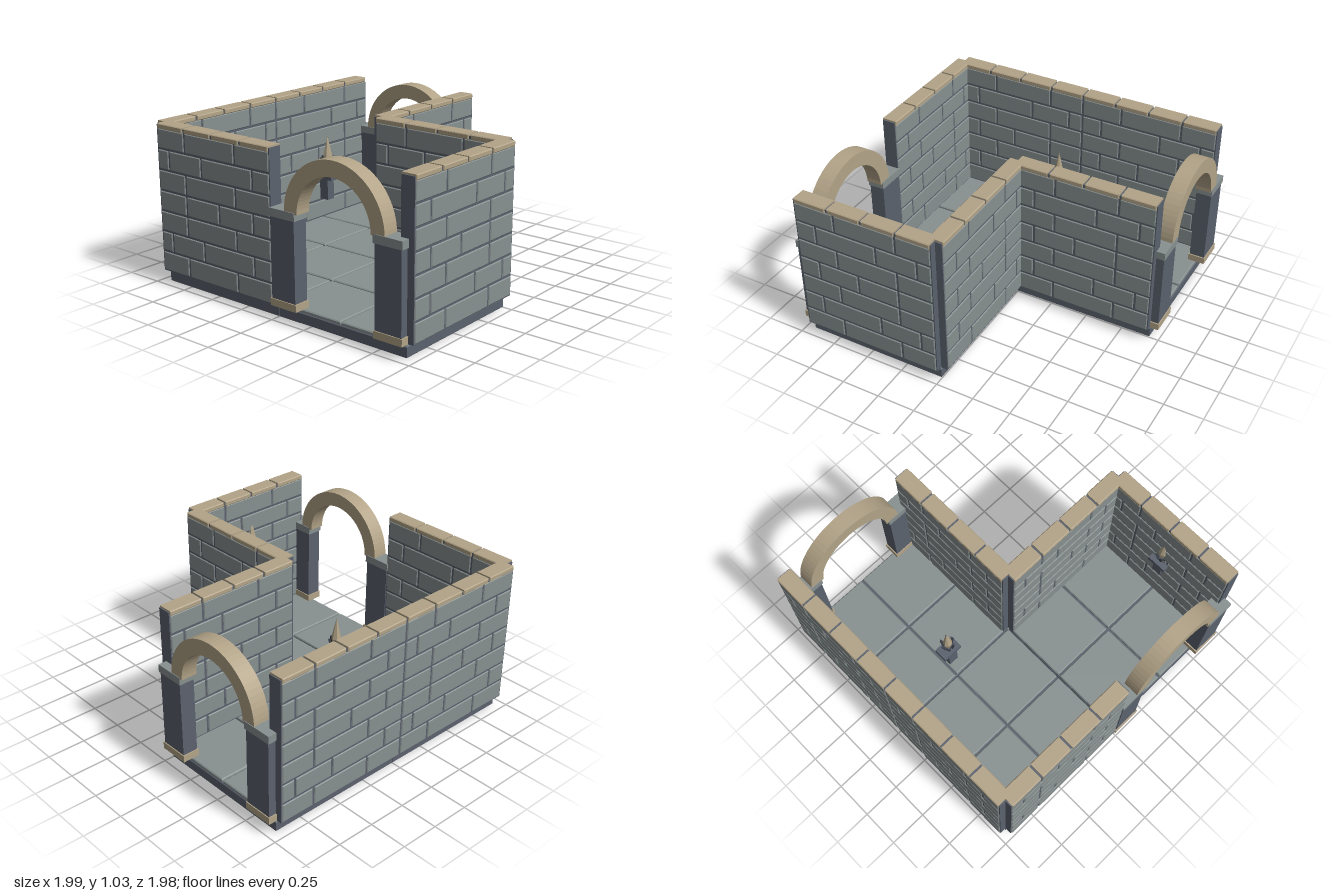
import * as THREE from 'three';
import { mergeGeometries } from 'three/addons/utils/BufferGeometryUtils.js';

const material = (name, color) => {
  const m = new THREE.MeshStandardMaterial({ color, flatShading: true });
  m.name = name;
  return m;
};

export function createModel() {
  const stone = material('grey stone', 0x889090);
  const slate = material('dark slate', 0x5b626e);
  const sand = material('sandstone', 0xb3a488);
  const iron = material('dark iron', 0x40464f);

  const model = new THREE.Group();
  model.name = 'dungeonRooms';
  const L = 0.94; // side of one square room

  const add = (parent, name, geometry, mat, x = 0, y = 0, z = 0) => {
    const mesh = new THREE.Mesh(geometry, mat);
    mesh.name = name;
    mesh.position.set(x, y, z);
    parent.add(mesh);
    return mesh;
  };

  // Chamfered block centred on its origin, bevelled towards +z and -z
  const block = (w, h, d, b) => {
    const x = w / 2 - b, y = h / 2 - b;
    const shape = new THREE.Shape([
      new THREE.Vector2(-x, -y), new THREE.Vector2(x, -y),
      new THREE.Vector2(x, y), new THREE.Vector2(-x, y),
    ]);
    return new THREE.ExtrudeGeometry(shape, {
      depth: d - 2 * b, bevelEnabled: true, bevelThickness: b, bevelSize: b, bevelSegments: 1,
    }).translate(0, 0, b - d / 2);
  };

  // Floors: a slab with four paving tiles per room
  const addFloor = (cx, cz) => {
    const floor = new THREE.Group();
    floor.name = 'floor';
    floor.position.set(cx, 0, cz);
    model.add(floor);
    add(floor, 'floorSlab', block(L - 0.004, L - 0.004, 0.07, 0.006).rotateX(-Math.PI / 2), slate, 0, 0.035, 0);
    const tiles = [];
    for (const sx of [-1, 1]) for (const sz of [-1, 1]) {
      tiles.push(block(L / 2 - 0.014, L / 2 - 0.014, 0.03, 0.006).rotateX(-Math.PI / 2)
        .translate(sx * L / 4, 0.074, sz * L / 4));
    }
    add(floor, 'floorTiles', mergeGeometries(tiles), stone);
  };
  addFloor(-L / 2, -L / 2);
  addFloor(L / 2, -L / 2);
  addFloor(-L / 2, L / 2);

  // Walls: dark core, staggered bricks on both faces, coping stones on top
  const joints = [[0.28, 0.70], [0.14, 0.56, 0.84], [0.28, 0.70], [0.14, 0.42, 0.70]];
  const rowHeight = 0.131, bottom = 0.088;
  const addWall = (cx, cz, turn) => {
    const wall = new THREE.Group();
    wall.name = 'wall';
    wall.position.set(cx, 0, cz);
    wall.rotation.y = turn;
    model.add(wall);
    add(wall, 'wallCore', new THREE.BoxGeometry(L, 0.932, 0.088), slate, 0, bottom + 0.466, 0);

    const bricks = [];
    for (let row = 0; row < 7; row++) {
      const cuts = [0, ...joints[row % 4], L];
      for (let i = 0; i < cuts.length - 1; i++) {
        const width = cuts[i + 1] - cuts[i];
        bricks.push(block(width - 0.013, rowHeight - 0.013, 0.1, 0.005)
          .translate(cuts[i] + width / 2 - L / 2, bottom + (row + 0.5) * rowHeight, 0));
      }
    }
    add(wall, 'wallBricks', mergeGeometries(bricks), stone);

    const coping = [];
    for (let i = 0; i < 4; i++) {
      coping.push(block(L / 4 - 0.014, 0.032, 0.104, 0.005)
        .translate((i - 1.5) * L / 4, 1.014, 0));
    }
    add(wall, 'copingStones', mergeGeometries(coping), sand);
  };
  const Q = Math.PI / 2;
  addWall(-L / 2, -L, 0);
  addWall(L / 2, -L, 0);
  addWall(-L / 2, L, 0);
  addWall(L / 2, 0, 0);
  addWall(-L, -L / 2, Q);
  addWall(0, L / 2, Q);

  // Doorways: two pillars carrying a round arch, built in x-y and turned
  const addDoorway = (cx, cz, turn) => {
    const door = new THREE.Group();
    door.name = 'archway';
    door.position.set(cx, 0, cz);
    door.rotation.y = turn;
    model.add(door);
    for (const s of [-1, 1]) {
      const x = s * 0.38;
      add(door, 'pillarBase', new THREE.BoxGeometry(0.197, 0.045, 0.112), sand, x, 0.111, 0);
      add(door, 'pillarShaft', new THREE.BoxGeometry(0.18, 0.5, 0.1), slate, x, 0.383, 0);
      add(door, 'pillarCapital', new THREE.BoxGeometry(0.197, 0.05, 0.112), stone, x, 0.655, 0);
    }
    const ring = new THREE.Shape();
    ring.absarc(0, 0, 0.36, 0, Math.PI, false);
    ring.absarc(0, 0, 0.265, Math.PI, 0, true);
    add(door, 'arch', new THREE.ExtrudeGeometry(ring, { depth: 0.104, bevelEnabled: false, curveSegments: 16 }),
      sand, 0, 0.67, -0.052);
  };
  addDoorway(L, -L / 2, Q);
  addDoorway(-L, L / 2, -Q);

  // Torches: bracket, shelf, iron claws and a pointed flame
  const addTorch = (x, z, turn) => {
    const torch = new THREE.Group();
    torch.name = 'torch';
    torch.position.set(x, 0, z);
    torch.rotation.y = turn;
    model.add(torch);
    add(torch, 'torchBracket', new THREE.BoxGeometry(0.066, 0.135, 0.06), slate, 0, 0.472, 0.032);
    add(torch, 'torchShelf', new THREE.BoxGeometry(0.132, 0.036, 0.088), slate, 0, 0.557, 0.044);
    add(torch, 'torchCup', new THREE.CylinderGeometry(0.028, 0.018, 0.05, 8), iron, 0, 0.6, 0.042);
    for (let i = 0; i < 6; i++) {
      const arm = new THREE.Group();
      arm.name = 'torchClaw';
      arm.position.set(0, 0, 0.042);
      arm.rotation.y = i * Math.PI / 3;
      torch.add(arm);
      add(arm, 'claw', new THREE.BoxGeometry(0.012, 0.085, 0.012), iron, 0.034, 0.645, 0).rotation.z = -0.2;
    }
    const profile = [[0, 0.6], [0.016, 0.62], [0.03, 0.69], [0.016, 0.755], [0, 0.825]];
    add(torch, 'flame', new THREE.LatheGeometry(profile.map(([r, y]) => new THREE.Vector2(r, y)), 7),
      sand, 0, 0, 0.042);
  };
  addTorch(0, -L / 2 - 0.005, Q);
  addTorch(-L / 2, L, Math.PI);

  return model;
}
